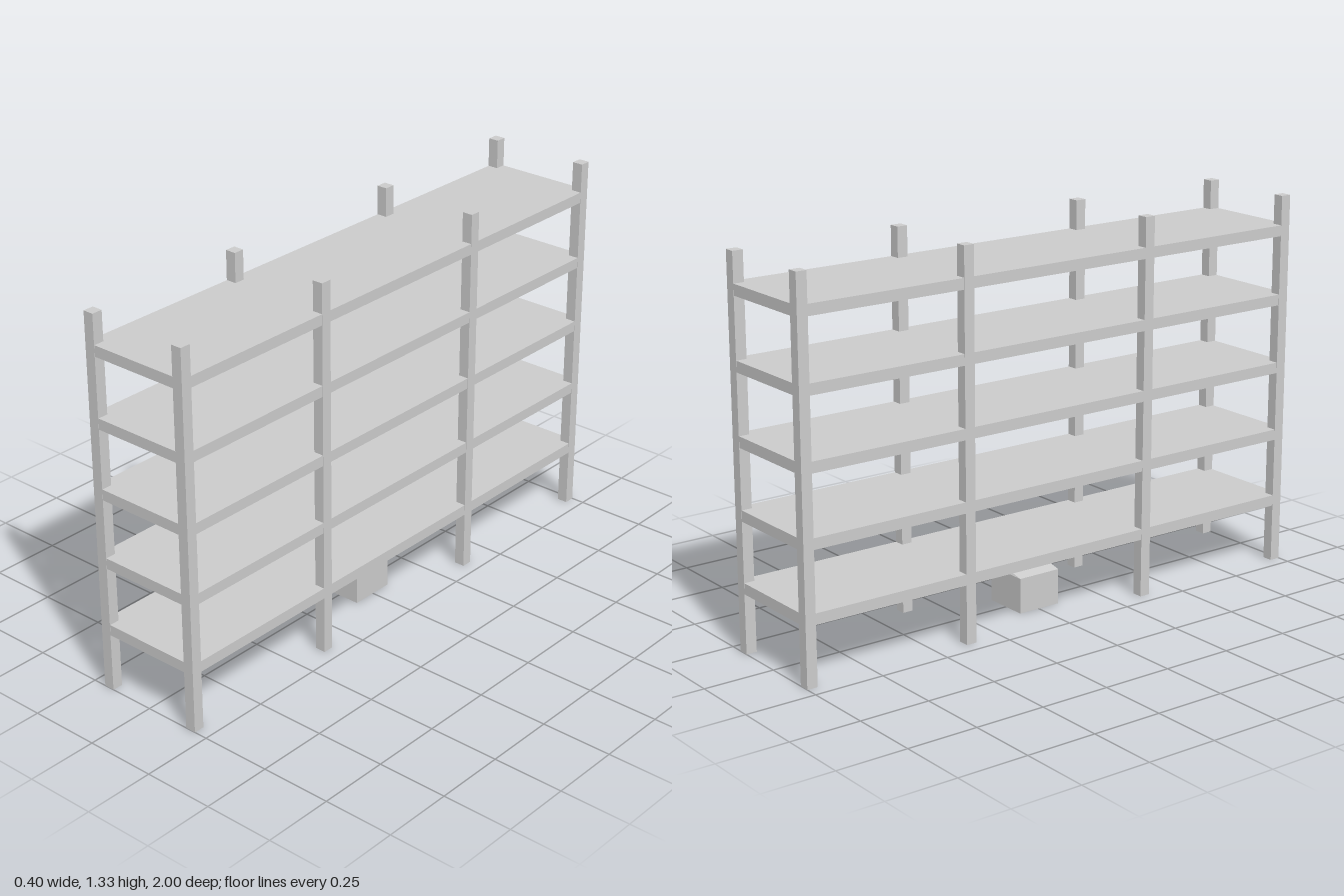
import * as THREE from 'three';

const material = new THREE.MeshStandardMaterial({ color: 0xcccccc, flatShading: true });
const thinMaterial = new THREE.MeshStandardMaterial({ color: 0xcccccc, flatShading: true, side: THREE.DoubleSide });

function addBox(parent, name, size, position) {
  const mesh = new THREE.Mesh(new THREE.BoxGeometry(...size), material);
  mesh.position.set(...position);
  mesh.name = name;
  parent.add(mesh);
}

function addPanel(parent, name, width, height, position, rotation) {
  const mesh = new THREE.Mesh(new THREE.PlaneGeometry(width, height), thinMaterial);
  mesh.position.set(...position);
  mesh.rotation.set(...rotation);
  mesh.name = name;
  parent.add(mesh);
}

// Thin-walled carton with two lid flaps meeting in a low ridge
function createCarton() {
  const carton = new THREE.Group();
  carton.name = 'carton';
  const half = 0.081, height = 0.124, rise = 0.018;
  const slope = Math.atan2(rise, half);
  addPanel(carton, 'cartonBottom', 2 * half, 2 * half, [0, 0.001, 0], [Math.PI / 2, 0, 0]);
  for (const s of [-1, 1]) {
    addPanel(carton, 'cartonSide', 2 * half, height, [s * half, height / 2, 0], [0, s * Math.PI / 2, 0]);
    addPanel(carton, 'cartonEnd', 2 * half, height, [0, height / 2, s * half], [0, s < 0 ? Math.PI : 0, 0]);
    // Pivot tilts each flap up toward the middle
    const flap = new THREE.Group();
    flap.name = 'cartonFlap';
    flap.position.set(s * half / 2, height + rise / 2, 0);
    flap.rotation.z = -s * slope;
    addPanel(flap, 'flapPanel', Math.hypot(half, rise), 2 * half, [0, 0, 0], [-Math.PI / 2, 0, 0]);
    carton.add(flap);
  }
  return carton;
}

export function createModel() {
  const model = new THREE.Group();
  model.name = 'storageRack';
  const halfWidth = 0.202, halfLength = 1, post = 0.038, postHeight = 1.327;

  // Four pairs of square posts
  for (const x of [-1, 1]) {
    for (const z of [-0.981, -0.369, 0.369, 0.981]) {
      addBox(model, 'post', [post, postHeight, post], [x * (halfWidth - post / 2), postHeight / 2, z]);
    }
  }

  // Five evenly spaced shelves, a hair inside the post faces
  for (let i = 0; i < 5; i++) {
    addBox(model, 'shelf', [2 * halfWidth - 0.002, 0.038, 2 * halfLength - 0.002], [0, 0.225 + i * 0.245, 0]);
  }

  // Carton on the floor under the lowest shelf
  const carton = createCarton();
  carton.position.z = 0.003;
  model.add(carton);
  return model;
}
